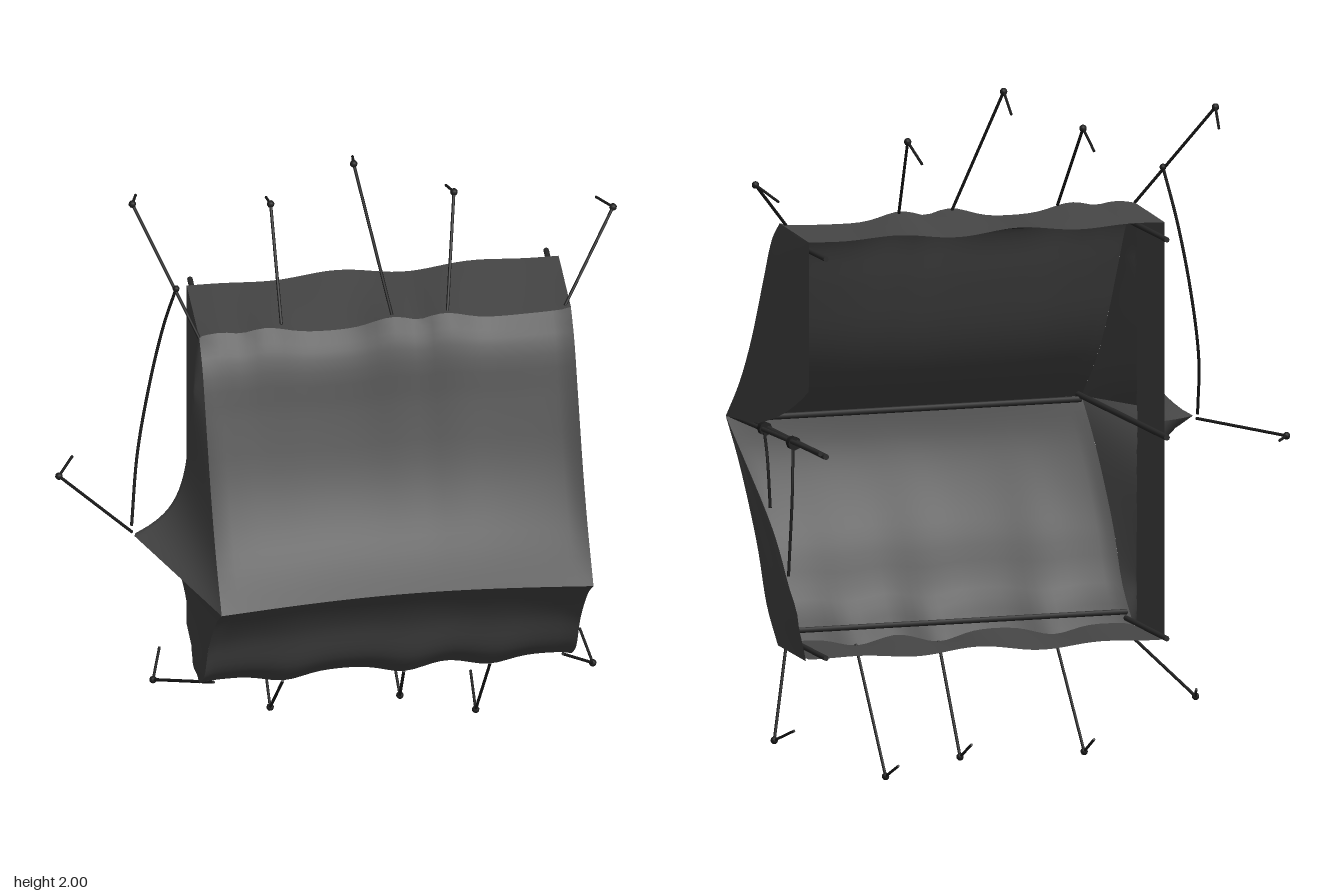
import * as THREE from 'three';

const V = (x, y, z) => new THREE.Vector3(x, y, z);
const HEM = -0.34, X0 = -0.43, X1 = 0.645;
const lerp = THREE.MathUtils.lerp;
const clamp01 = (v) => Math.min(1, Math.max(0, v));

export function createModel() {
  const root = new THREE.Group();
  const canvas = new THREE.MeshStandardMaterial({ name: 'canvas', color: 0x464646, side: THREE.DoubleSide });
  const cord = new THREE.MeshStandardMaterial({ name: 'cord', color: 0x1c1c1c });
  const poleMat = new THREE.MeshStandardMaterial({ name: 'pole', color: 0x2a2a2a });

  function add(name, geo, mat, parent = root) {
    const m = new THREE.Mesh(geo, mat);
    m.name = name;
    parent.add(m);
    return m;
  }

  // Cloth sheet from a rule (u, v in 0..1) -> point
  function sheet(name, fn, nu, nv) {
    const geo = new THREE.PlaneGeometry(1, 1, nu, nv);
    const p = geo.attributes.position;
    for (let i = 0; i < p.count; i++) {
      const q = fn(p.getX(i) + 0.5, 0.5 - p.getY(i));
      p.setXYZ(i, q.x, q.y, q.z);
    }
    geo.computeVertexNormals();
    return add(name, geo, canvas);
  }

  // Straight round rod between two points
  function rod(name, a, b, r, mat, parent) {
    const geo = new THREE.CylinderGeometry(r, r, a.distanceTo(b), 8);
    const m = add(name, geo, mat, parent);
    m.position.copy(a).add(b).multiplyScalar(0.5);
    m.quaternion.setFromUnitVectors(V(0, 1, 0), b.clone().sub(a).normalize());
    return m;
  }

  const cordTube = (name, pts) =>
    add(name, new THREE.TubeGeometry(new THREE.CatmullRomCurve3(pts), 24, 0.0045, 6), cord);

  // Slope profiles from ridge to eave
  const profile = (pts) => new THREE.CatmullRomCurve3(pts.map(([y, z]) => V(0, y, z)));
  const upper = profile([[0.96, 0.41], [1.08, 0.285], [1.22, 0.18], [1.4, 0.077], [1.54, -0.005], [1.6, -0.075]]);
  const lower = profile([[0.96, 0.41], [0.86, 0.305], [0.74, 0.205], [0.62, 0.12], [0.47, 0.04], [0.37, -0.06]]);

  // The cloth is pulled outwards where the guy lines hold it
  const pull = (x, anchors) =>
    Math.max(...anchors.map((a) => Math.exp(-(((x - a) / 0.08) ** 2)))) * 0.03 - 0.015;
  const topAnchors = [-0.38, -0.24, 0.13, 0.28];
  const bottomAnchors = [-0.19, 0.16, 0.41];

  // name, profile, outward direction, anchors, hem height
  const halves = [
    ['upper', upper, 1, topAnchors, 1.587],
    ['lower', lower, -1, bottomAnchors, 0.374],
  ];
  for (const [side, curve, dir, anchors, hemY] of halves) {
    const slope = (s, t) => {
      const p = curve.getPoint(t);
      const x = lerp(X0, X1, s), arch = Math.sin(Math.PI * s);
      const edge = pull(x, anchors) * arch ** 0.3;
      const sag = 0.032 * Math.sqrt(arch) * Math.sin(Math.PI * t ** 0.85);
      return V(x, p.y + dir * (edge * t * t - sag * 0.6), p.z - sag * 0.8 - 0.035 * arch * (1 - t) ** 2);
    };
    sheet(side + 'RoofSlope', slope, 40, 20);

    // Low side wall hanging from the eave
    sheet(side + 'SideWall', (s, t) => {
      const a = slope(s, 1);
      const ripple = 0.01 * Math.sin(s * 17 + dir) * Math.sin(Math.PI * s) * t;
      return V(a.x, lerp(a.y, hemY, t) + ripple, lerp(a.z, HEM + 0.004 * Math.sin(s * 13), t));
    }, 40, 8);

    // Right end wall, drawn out to a point by its own guy line
    sheet(side + 'RightEndWall', (u, t) => {
      const p = curve.getPoint(t);
      const z = lerp(p.z, HEM, u);
      const dy = Math.abs(p.y - 0.96);
      const front = clamp01((p.z - z) / Math.max(p.z + 0.01, 0.06));
      const back = Math.sqrt(clamp01(1 + Math.min(0, z + 0.01) / 0.075));
      const b = (0.13 * Math.exp(-dy / 0.07) + 0.07 * Math.exp(-dy / 0.5)) * front * back;
      return V(X0 - b, lerp(p.y, hemY, u * t ** 4), z);
    }, 60, 30);
  }

  // Left end: upper half, its lower edge swept up from the ridge to the hem
  sheet('leftEndUpperWall', (u, t) => {
    const p = upper.getPoint(t);
    const end = Math.max(HEM, 0.41 - 0.75 * Math.sqrt(Math.max(0, p.y - 0.96) / 0.19));
    const z = lerp(p.z, Math.min(end, p.z), u);
    return V(X1 + 0.008 * Math.sin(Math.PI * u) * Math.sin(Math.PI * t), lerp(p.y, 1.587, u * t ** 4), z);
  }, 24, 30);

  // Left end: lower door flap drawn back along a slanted edge
  sheet('doorFlap', (u, t) => {
    const p = lower.getPoint(t);
    const end = Math.max(HEM, 0.41 - ((0.96 - p.y) / 0.44) * 0.75);
    const z = lerp(p.z, end, u);
    const swell = 0.035 * u * Math.exp(-(((p.y - 0.52) / 0.13) ** 2));
    return V(X1 + swell + 0.006 * Math.sin(u * 9) * t * (1 - t), p.y, z);
  }, 24, 24);

  // Frame: uprights at both ends, ridge and eave rails
  const frame = new THREE.Group();
  frame.name = 'frame';
  root.add(frame);
  for (const x of [-0.41, 0.62]) {
    rod('ridgeUpright', V(x, 0.97, 0.38), V(x, 0.975, -0.42), 0.009, poleMat, frame);
    for (const y of [1.55, 0.39]) rod('cornerUpright', V(x, y, -0.05), V(x, y, -0.42), 0.008, poleMat, frame);
  }
  rod('ridgeUprightTwin', V(0.637, 0.965, 0.38), V(0.637, 0.985, -0.42), 0.007, poleMat, frame);
  rod('ridgeRail', V(-0.41, 0.96, 0.355), V(0.62, 0.96, 0.355), 0.009, poleMat, frame);
  for (const y of [1.55, 0.41]) rod('eaveRail', V(-0.41, y, -0.06), V(0.62, y, -0.06), 0.008, poleMat, frame);
  for (const z of [0.11, -0.15]) rod('poleCollar', V(0.628, 0.972, z + 0.012), V(0.628, 0.972, z - 0.012), 0.02, cord, frame);

  // Guy lines with their pegs: start x, y, z then peg x, y, z
  const guys = [
    [-0.43, 1.6, -0.07, -0.59, 1.91, -0.32], [-0.19, 1.61, -0.09, -0.19, 1.87, -0.32],
    [0.13, 1.61, -0.09, 0.05, 1.99, -0.32], [0.29, 1.61, -0.09, 0.34, 1.86, -0.32],
    [0.63, 1.595, -0.09, 0.8, 1.76, -0.32], [-0.39, 0.37, -0.06, -0.53, 0.2, -0.32],
    [-0.19, 0.355, -0.06, -0.19, 0.06, -0.33], [0.16, 0.355, -0.06, 0.185, 0.065, -0.33],
    [0.41, 0.36, -0.06, 0.4, 0.015, -0.3], [0.62, 0.37, -0.06, 0.74, 0.14, -0.31],
    [-0.63, 0.955, -0.03, -0.8, 0.945, -0.335],
  ];
  for (const [ax, ay, az, bx, by, bz] of guys) {
    const a = V(ax, ay, az), b = V(bx, by, bz);
    const guy = new THREE.Group();
    guy.name = 'guyLine';
    root.add(guy);
    rod('rope', a, b, 0.0045, cord, guy);
    const inward = V(ax - bx, ay - by, 0).normalize().multiplyScalar(0.05);
    rod('peg', b, V(bx + inward.x, by + inward.y, -0.42), 0.004, cord, guy);
    add('pegHead', new THREE.SphereGeometry(0.011, 10, 8), cord, guy).position.copy(b);
  }

  // Slack cord from the drawn-out end wall to the corner guy line
  cordTube('slackCord', [V(-0.63, 0.97, -0.04), V(-0.6, 1.15, -0.14), V(-0.555, 1.36, -0.2), V(-0.515, 1.56, -0.2), V(-0.485, 1.715, -0.16)]);
  add('slackCordKnot', new THREE.SphereGeometry(0.01, 10, 8), cord).position.set(-0.485, 1.715, -0.16);

  // Door ties hanging from the upright to the flap
  cordTube('doorTie', [V(0.63, 0.97, 0.11), V(0.645, 0.9, 0.035), V(0.648, 0.76, 0.0)]);
  cordTube('doorTie', [V(0.63, 0.97, -0.15), V(0.65, 0.84, -0.205), V(0.67, 0.6, -0.23)]);

  return root;
}
